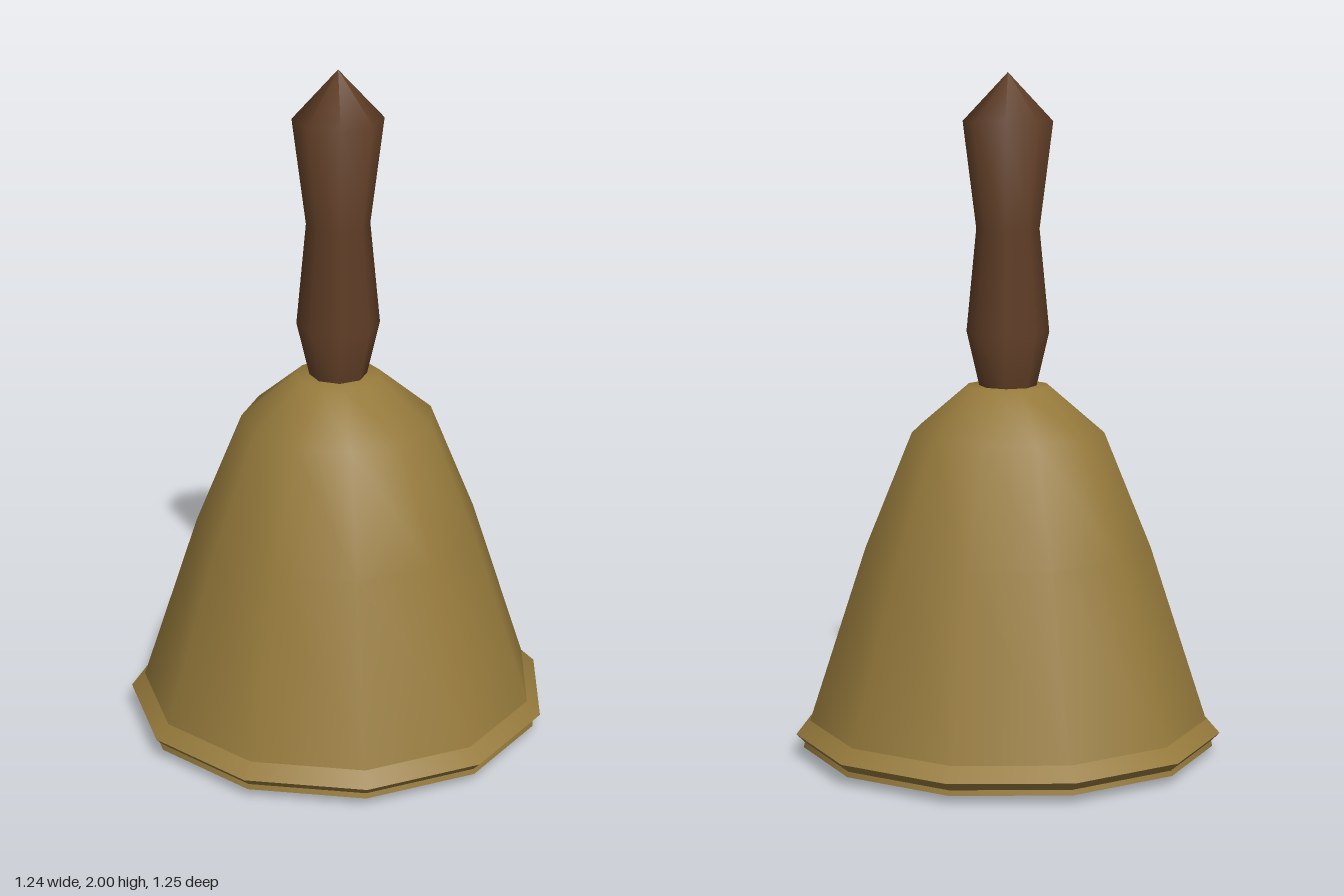
import * as THREE from 'three';

const AXIS_X = -0.014;

// Turned part: profile of [radius, y]; upward profiles face outward
function turned(name, profile, sides, material, start = Math.PI / 2) {
  const points = profile.map(([r, y]) => new THREE.Vector2(r, y));
  const mesh = new THREE.Mesh(new THREE.LatheGeometry(points, sides, start), material);
  mesh.name = name;
  mesh.position.x = AXIS_X;
  return mesh;
}

export function createModel() {
  const brass = new THREE.MeshStandardMaterial({ color: 0x967a3c });
  brass.name = 'brass';
  const wood = new THREE.MeshStandardMaterial({ color: 0x623f27 });
  wood.name = 'darkWood';
  const iron = new THREE.MeshStandardMaterial({ color: 0x17191c, flatShading: true });
  iron.name = 'blackIron';

  const group = new THREE.Group();
  group.name = 'handBell';

  // Eleven-sided bell: outer wall, flared lip, underside and hollow inside
  group.add(
    turned('bellBody', [[0.59, 0.105], [0.422, 0.62], [0.284, 0.957], [0.125, 1.09], [0, 1.092]], 11, brass),
    turned('lipTop', [[0.631, 0.065], [0.59, 0.105]], 11, brass),
    turned('lipUnderside', [[0.606, 0.04], [0.631, 0.065]], 11, brass),
    turned('rimEdge', [[0.61, 0.025], [0.606, 0.04]], 11, brass),
    turned('rimBottom', [[0.585, 0.025], [0.61, 0.025]], 11, brass),
    turned('bellInside', [[0, 1.06], [0.11, 1.055], [0.262, 0.93], [0.4, 0.61], [0.565, 0.105], [0.585, 0.025]], 11, brass)
  );

  // Eight-sided wooden handle with pointed end
  group.add(turned('handle',
    [[0.082, 1.07], [0.084, 1.09], [0.121, 1.25], [0.092, 1.55], [0.131, 1.86], [0, 2]], 8, wood));

  // Clapper ball resting to one side
  const clapper = new THREE.Mesh(new THREE.SphereGeometry(0.095, 8, 6), iron);
  clapper.name = 'clapper';
  clapper.position.set(0.108, 0.095, 0);
  group.add(clapper);

  return group;
}
